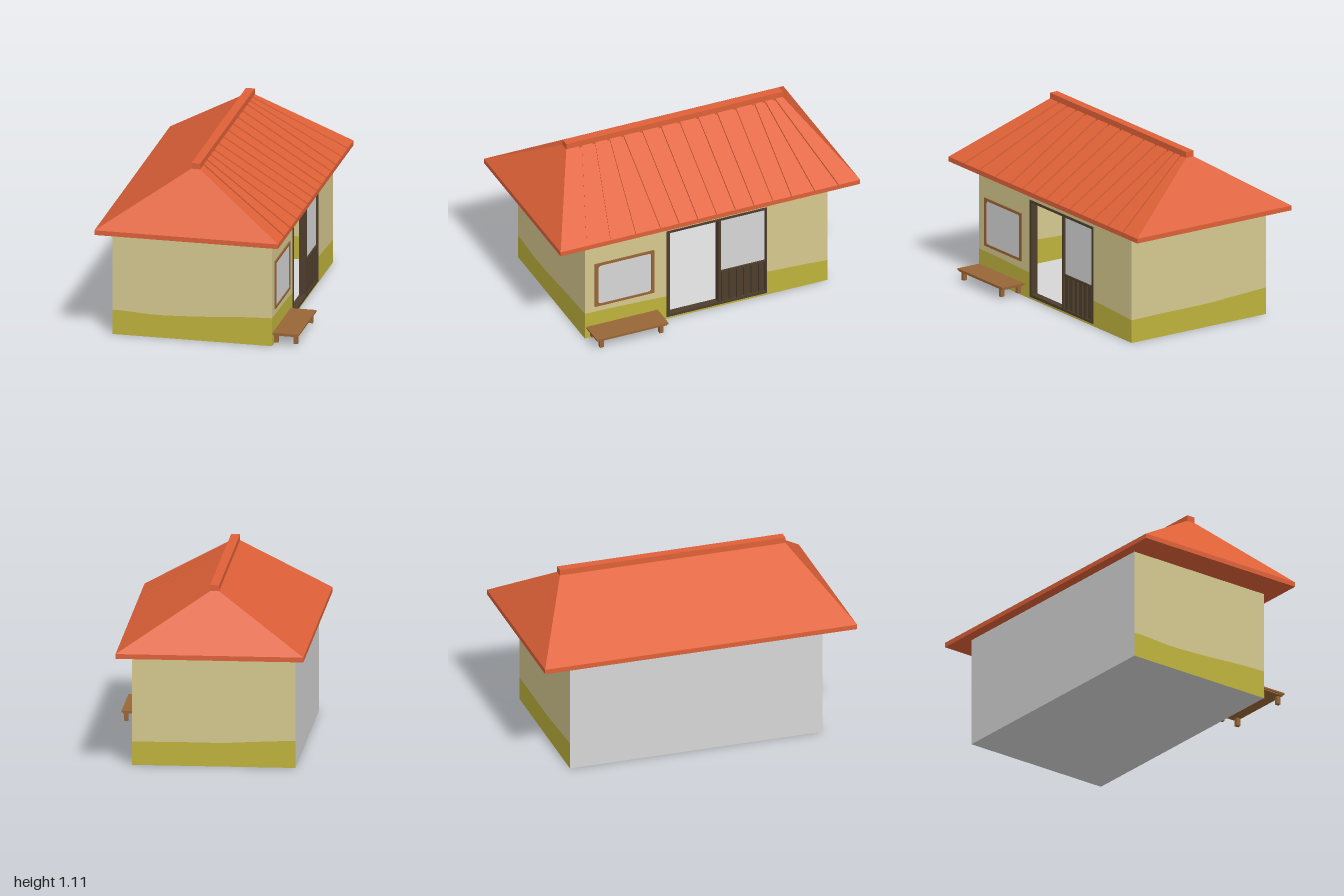
import * as THREE from 'three';

const mat = (name, color) => {
  const m = new THREE.MeshStandardMaterial({ color, side: THREE.DoubleSide });
  m.name = name;
  return m;
};

export function createModel() {
  const house = new THREE.Group();
  house.name = 'house';
  const plaster = mat('plaster', 0xd6c98f);
  const moss = mat('mossBand', 0xbfb33c);
  const tile = mat('roofTile', 0xdf6138);
  const pale = mat('paleGrey', 0xd6d6d6);
  const dark = mat('darkTimber', 0x4e3e2d);
  const wood = mat('wood', 0x986636);

  const add = (parent, name, geometry, material) => {
    const mesh = new THREE.Mesh(geometry, material);
    mesh.name = name;
    parent.add(mesh);
    return mesh;
  };
  // Box given by its minimum and maximum corners
  const box = (parent, name, material, [x0, y0, z0], [x1, y1, z1]) => {
    const g = new THREE.BoxGeometry(x1 - x0, y1 - y0, z1 - z0);
    g.translate((x0 + x1) / 2, (y0 + y1) / 2, (z0 + z1) / 2);
    return add(parent, name, g, material);
  };
  const polygon = (pts) =>
    new THREE.ShapeGeometry(new THREE.Shape(pts.map((p) => new THREE.Vector2(p[0], p[1]))));

  // Walls: flat sheets, mossy below a wavy line and plaster above
  const X0 = -0.55, X1 = 0.45, Z0 = -0.82, Z1 = 0.80, H = 0.70;
  const wall = (name, turn, x, z) => {
    const g = new THREE.Group();
    g.name = name;
    g.rotation.y = turn;
    g.position.set(x, 0, z);
    house.add(g);
    return g;
  };
  const banded = (parent, line) => {
    const wave = new THREE.SplineCurve(line.map((p) => new THREE.Vector2(...p)))
      .getPoints(16).map((p) => [p.x, p.y]);
    const a = wave[0][0], b = wave[wave.length - 1][0];
    add(parent, 'mossBand', polygon([[a, 0], [b, 0], ...wave.slice().reverse()]), moss);
    add(parent, 'plasterWall', polygon([...wave, [b, H], [a, H]]), plaster);
  };
  banded(wall('frontWall', 0, 0, Z1),
    [[X0, 0.155], [-0.47, 0.155], [-0.27, 0.145], [0, 0.155], [0.25, 0.172], [X1, 0.18]]);
  banded(wall('backWall', Math.PI, 0, Z0),
    [[-X1, 0.145], [-0.2, 0.148], [0.1, 0.148], [0.3, 0.158], [-X0, 0.17]]);

  // Entrance wall, with an opening for the door
  const entrance = wall('entranceWall', Math.PI / 2, X1, 0);
  banded(entrance, [[-Z1, 0.18], [-0.55, 0.175], [-0.255, 0.165]]);
  banded(entrance, [[0.415, 0.165], [0.6, 0.157], [-Z0, 0.145]]);
  add(entrance, 'lintelWall', polygon([[-0.255, 0.635], [0.415, 0.635], [0.415, H], [-0.255, H]]), plaster);
  add(entrance, 'thresholdBand', polygon([[-0.255, 0], [0.415, 0], [0.415, 0.015], [-0.255, 0.015]]), moss);

  // Plain grey side wall and floor
  const plain = wall('plainSideWall', -Math.PI / 2, X0, 0);
  add(plain, 'sideSheet', polygon([[Z0, 0], [Z1, 0], [Z1, H], [Z0, H]]), pale);
  const floor = add(house, 'floor', polygon([[X0, Z0], [X1, Z0], [X1, Z1], [X0, Z1]]), pale);
  floor.rotation.x = Math.PI / 2;

  // Hipped roof made from quads
  const roof = new THREE.Group();
  roof.name = 'roof';
  house.add(roof);
  const quads = (name, list) => {
    const pos = [];
    for (const [a, b, c, d] of list) pos.push(...a, ...b, ...c, ...a, ...c, ...d);
    const g = new THREE.BufferGeometry();
    g.setAttribute('position', new THREE.Float32BufferAttribute(pos, 3));
    g.computeVertexNormals();
    add(roof, name, g, tile);
  };
  const EL = -0.615, ER = 0.535, RL = -0.075, RR = -0.02, EY = 0.73, RY = 1.075;
  const RF = 0.715, RB = -0.73;
  quads('hips', [
    [[EL, EY, 1], [ER, EY, 1], [RR, RY, RF], [RL, RY, RF]],
    [[ER, EY, -1], [EL, EY, -1], [RL, RY, RB], [RR, RY, RB]],
    [[EL, EY, -1], [EL, EY, 1], [RL, RY, RF], [RL, RY, RB]],
  ]);
  quads('eaves', [
    [[EL, H, 1], [ER, H, 1], [ER, EY, 1], [EL, EY, 1]],
    [[ER, H, -1], [EL, H, -1], [EL, EY, -1], [ER, EY, -1]],
    [[ER, H, 1], [ER, H, -1], [ER, EY, -1], [ER, EY, 1]],
    [[EL, H, -1], [EL, H, 1], [EL, EY, 1], [EL, EY, -1]],
    [[EL, H, -1], [ER, H, -1], [ER, H, 1], [EL, H, 1]],
  ]);

  // Entrance slope, cut by narrow grooves that fan out at the ends
  const grooves = [[0.835, 0.62], [0.675, 0.53], [0.505, 0.433], [0.34, 0.34], [0.215, 0.215],
    [0.09, 0.09], [-0.035, -0.035], [-0.16, -0.16], [-0.285, -0.285], [-0.41, -0.41],
    [-0.535, -0.535], [-0.69, -0.605], [-0.85, -0.672]];
  const low = (z, d = 0) => [ER, EY - d, z];
  const high = (z, d = 0) => [RR, RY - d, z];
  const slope = [], w = 0.009, depth = 0.012;
  let prev = [1, RF];
  for (const [e, r] of grooves) {
    slope.push([low(prev[0]), low(e + w), high(r + w), high(prev[1])]);
    slope.push([low(e + w), low(e + w, depth), high(r + w, depth), high(r + w)]);
    slope.push([low(e + w, depth), low(e - w, depth), high(r - w, depth), high(r + w, depth)]);
    slope.push([low(e - w, depth), low(e - w), high(r - w), high(r - w, depth)]);
    prev = [e - w, r - w];
  }
  slope.push([low(prev[0]), low(-1), high(RB), high(prev[1])]);
  quads('groovedSlope', slope);
  box(roof, 'ridgeCap', tile, [RL, RY - 0.01, RB], [RR, 1.112, RF]);

  // Sliding door: open half towards the front, panelled half towards the back
  const door = new THREE.Group();
  door.name = 'door';
  house.add(door);
  const DX = 0.41, DF = 0.455;
  box(door, 'frontJamb', dark, [DX, 0.015, 0.235], [DF, 0.635, 0.255]);
  box(door, 'backJamb', dark, [DX, 0.015, -0.415], [DF, 0.635, -0.403]);
  box(door, 'middlePost', dark, [DX, 0.015, -0.105], [DF, 0.635, -0.09]);
  box(door, 'header', dark, [DX, 0.62, -0.415], [DF, 0.635, 0.255]);
  box(door, 'sill', dark, [DX, 0.015, -0.415], [DF, 0.032, 0.255]);
  box(door, 'lowerPanel', dark, [0.425, 0.03, -0.405], [0.437, 0.25, -0.1]);
  box(door, 'panelRail', dark, [0.425, 0.24, -0.405], [0.45, 0.252, -0.1]);
  for (let i = 0; i < 6; i++) {
    const z = -0.375 + i * 0.049;
    box(door, 'slat', dark, [0.43, 0.03, z - 0.014], [0.45, 0.245, z + 0.014]);
  }
  box(door, 'doorPane', pale, [0.434, 0.25, -0.405], [0.44, 0.622, -0.1]);

  // Window: frame with softly rounded inner corners and a pane
  const win = wall('window', Math.PI / 2, 0.447, 0);
  const frame = new THREE.Shape();
  frame.moveTo(-0.735, 0.217).lineTo(-0.34, 0.217).lineTo(-0.34, 0.524).lineTo(-0.735, 0.524);
  const a = -0.712, b = -0.36, c = 0.232, d = 0.508, r = 0.018;
  const hole = new THREE.Path();
  hole.moveTo(a + r, c).lineTo(b - r, c).quadraticCurveTo(b, c, b, c + r)
    .lineTo(b, d - r).quadraticCurveTo(b, d, b - r, d)
    .lineTo(a + r, d).quadraticCurveTo(a, d, a, d - r)
    .lineTo(a, c + r).quadraticCurveTo(a, c, a + r, c);
  frame.holes.push(hole);
  add(win, 'windowFrame', new THREE.ExtrudeGeometry(frame,
    { depth: 0.011, bevelEnabled: false, curveSegments: 4 }), wood);
  const pane = add(win, 'windowPane', new THREE.BoxGeometry(0.37, 0.29, 0.004), pale);
  pane.position.set(-0.537, 0.37, 0.004);

  // Bench under the window
  const bench = new THREE.Group();
  bench.name = 'bench';
  house.add(bench);
  box(bench, 'seat', wood, [0.452, 0.073, 0.315], [0.615, 0.084, 0.792]);
  box(bench, 'seatUnderside', wood, [0.455, 0.065, 0.322], [0.608, 0.073, 0.785]);
  for (const x of [0.455, 0.578])
    for (const z of [0.345, 0.743])
      box(bench, 'leg', wood, [x, 0.015, z], [x + 0.026, 0.066, z + 0.024]);

  return house;
}
